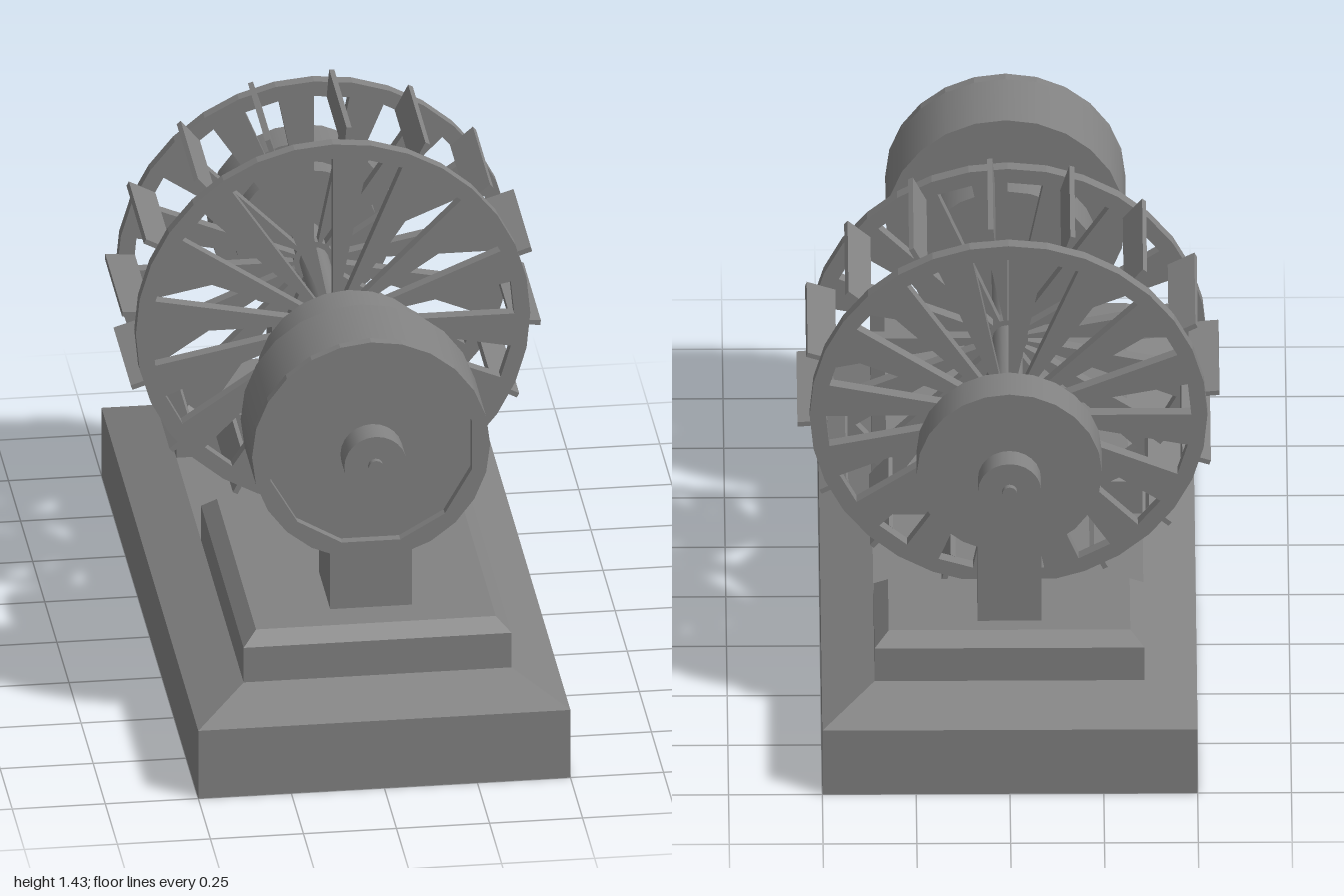
import * as THREE from 'three';

const AXIS_Y = 0.867; // height of the shaft
const GREY = 0x828282;
const material = new THREE.MeshStandardMaterial({ color: GREY });
const shellMaterial = new THREE.MeshStandardMaterial({ color: GREY, side: THREE.DoubleSide, flatShading: true });

function add(parent, name, geometry, mat = material) {
  const mesh = new THREE.Mesh(geometry, mat);
  mesh.name = name;
  parent.add(mesh);
  return mesh;
}

// Cylinder lying along z between two z values, centred on the shaft line
function drum(parent, name, r, z0, z1, sides = 24) {
  const g = new THREE.CylinderGeometry(r, r, z1 - z0, sides);
  g.rotateX(Math.PI / 2);
  g.translate(0, AXIS_Y, (z0 + z1) / 2);
  return add(parent, name, g);
}

function box(parent, name, halfX, y0, y1, z0, z1) {
  const g = new THREE.BoxGeometry(halfX * 2, y1 - y0, z1 - z0);
  g.translate(0, (y0 + y1) / 2, (z0 + z1) / 2);
  return add(parent, name, g);
}

// Thin stepped shell through rectangular rings [halfX, zMin, zMax, y]
function shell(parent, name, rings, capped) {
  const pos = [];
  const corners = ([x, a, b, y]) => [[-x, y, b], [x, y, b], [x, y, a], [-x, y, a]];
  const quad = (a, b, c, d) => pos.push(...a, ...b, ...c, ...a, ...c, ...d);
  for (let i = 0; i + 1 < rings.length; i++) {
    const lo = corners(rings[i]), hi = corners(rings[i + 1]);
    for (let k = 0; k < 4; k++) quad(lo[k], lo[(k + 1) % 4], hi[(k + 1) % 4], hi[k]);
  }
  if (capped) quad(...corners(rings[rings.length - 1]));
  const g = new THREE.BufferGeometry();
  g.setAttribute('position', new THREE.Float32BufferAttribute(pos, 3));
  g.computeVertexNormals();
  return add(parent, name, g, shellMaterial);
}

const polar = (r, a) => new THREE.Vector2(r * Math.cos(a), r * Math.sin(a));

function polygonPoints(r, sides, offset = 0) {
  return Array.from({ length: sides }, (_, i) => polar(r, offset + (i / sides) * Math.PI * 2));
}

// Wheel side: round plate with sixteen wedge windows as wide as the spokes
function wheelPlate() {
  const shape = new THREE.Shape(polygonPoints(0.53, 32));
  const width = Math.PI / 16;
  for (let i = 0; i < 16; i++) {
    const a = (i * Math.PI) / 8;
    shape.holes.push(new THREE.Path([
      polar(0.487, a), polar(0.487, a + width), polar(0.055, a + width), polar(0.055, a),
    ]));
  }
  const g = new THREE.ExtrudeGeometry(shape, { depth: 0.034, bevelEnabled: false });
  g.translate(0, 0, -0.017);
  return g;
}

function createWheel() {
  const wheel = new THREE.Group();
  wheel.name = 'paddleWheel';
  wheel.position.set(0, AXIS_Y, -0.272);
  // The back plate faces the other way, so its spokes stand behind the front windows
  const plate = wheelPlate();
  add(wheel, 'frontPlate', plate).position.z = 0.195;
  const back = add(wheel, 'backPlate', plate);
  back.position.z = -0.195;
  back.rotation.y = Math.PI;

  // Radial paddles between the plates
  const paddle = new THREE.BoxGeometry(0.08, 0.014, 0.358);
  paddle.translate(0.524, 0, 0);
  for (let i = 0; i < 16; i++) {
    add(wheel, 'paddle', paddle).rotation.z = THREE.MathUtils.degToRad(-4.8 + i * 22.5);
  }
  return wheel;
}

// Bearing: large disc, smaller step towards +z, and a post
function createBearing(name, z) {
  const bearing = new THREE.Group();
  bearing.name = name;
  drum(bearing, 'bearingDisc', 0.247, z, z + 0.112);
  drum(bearing, 'bearingStep', 0.192, z + 0.11, z + 0.17);
  box(bearing, 'bearingPost', 0.085, 0.4, 0.68, z, z + 0.112);
  return bearing;
}

// Generator: drum with a recessed front face on a post
function createGenerator() {
  const generator = new THREE.Group();
  generator.name = 'generator';
  drum(generator, 'drumBody', 0.32, 0.49, 0.7);
  const rim = new THREE.Shape(polygonPoints(0.32, 24, Math.PI / 2));
  rim.holes.push(new THREE.Path(polygonPoints(0.28, 12, Math.PI / 12)));
  const g = new THREE.ExtrudeGeometry(rim, { depth: 0.028, bevelEnabled: false });
  g.translate(0, AXIS_Y, 0.698);
  add(generator, 'drumRim', g);
  box(generator, 'generatorPost', 0.11, 0.4, 0.6, 0.49, 0.726);
  return generator;
}

export function createModel() {
  const model = new THREE.Group();
  model.name = 'waterWheelGenerator';

  // Hollow base with two hollow pedestals and the deck between them
  shell(model, 'base', [[0.5, -1, 1, 0], [0.5, -1, 1, 0.2], [0.36, -0.86, 0.86, 0.268]], false);
  shell(model, 'deck', [[0.36, -0.53, -0.02, 0.268]], true);
  for (const [name, a, b] of [['frontPedestal', -0.02, 0.86], ['backPedestal', -0.86, -0.53]]) {
    shell(model, name, [[0.36, a, b, 0.268], [0.36, a, b, 0.37], [0.322, a + 0.036, b - 0.036, 0.405]], true);
  }

  // Shaft with end collars and tips
  drum(model, 'shaft', 0.04, -0.82, 0.76, 16);
  drum(model, 'shaftTips', 0.02, -0.882, 0.832, 12);
  drum(model, 'frontCollar', 0.084, 0.737, 0.817);
  drum(model, 'backCollar', 0.084, -0.867, -0.8);

  model.add(createWheel(), createGenerator());
  model.add(createBearing('frontBearing', 0.248), createBearing('backBearing', -0.778));
  return model;
}
